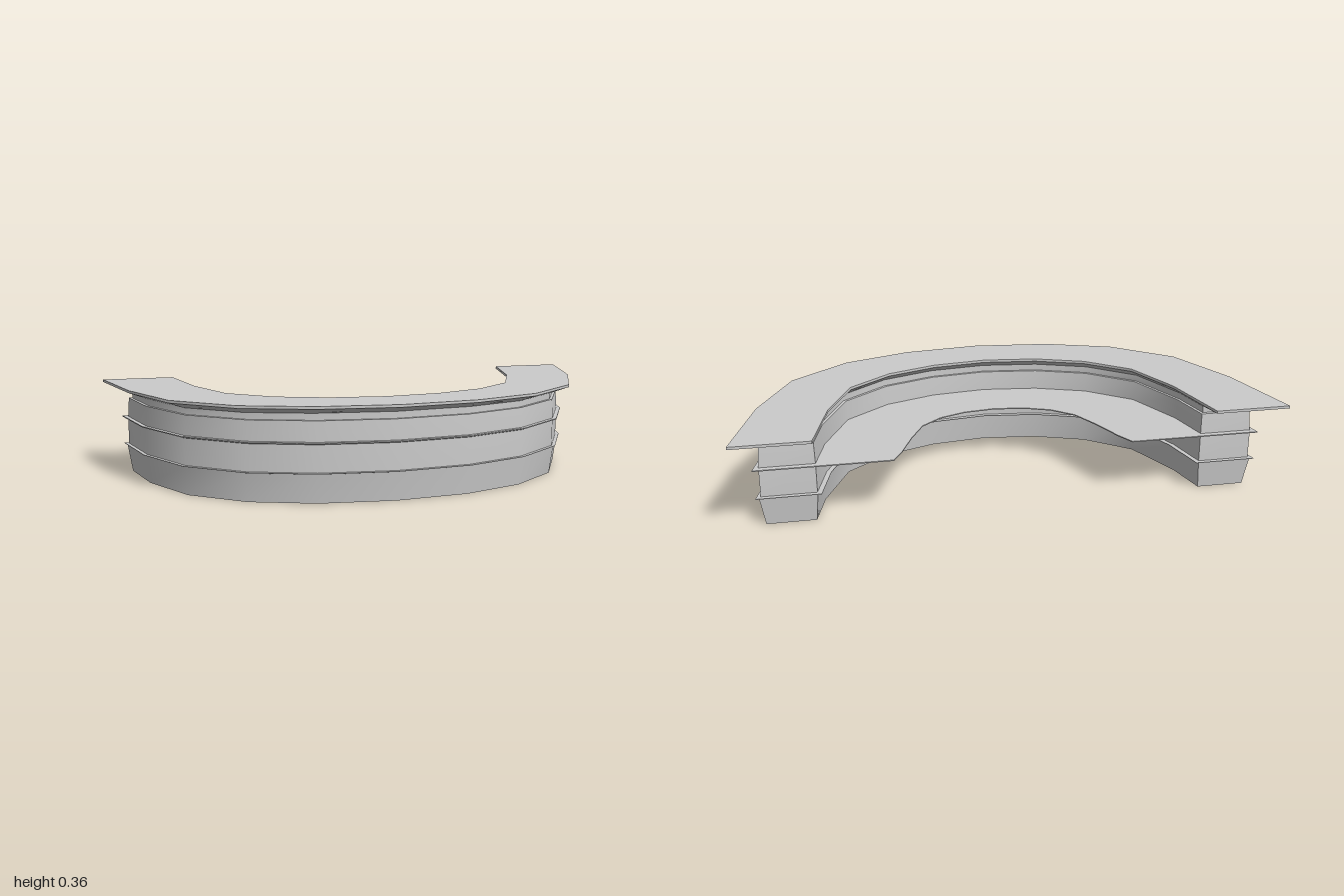
import * as THREE from 'three';
import { toCreasedNormals } from 'three/addons/utils/BufferGeometryUtils.js';

// Half plan lines [x, z], from the +x end round to the centre front
const topOuter = [[1, -0.463], [0.91, -0.12], [0.78, 0.16], [0.56, 0.34], [0.3, 0.43], [0, 0.463]];
const topInner = [[0.72, -0.463], [0.655, -0.18], [0.56, 0.04], [0.4, 0.17], [0.21, 0.24], [0, 0.265]];
const bodyOuter = [[0.908, -0.34], [0.85, -0.1], [0.725, 0.135], [0.525, 0.294], [0.285, 0.381], [0, 0.411]];
const deskInner = [[0.44, -0.365], [0.405, -0.3], [0.355, -0.175], [0.3, -0.065], [0.22, 0.005], [0.12, 0.045], [0, 0.06]];

// Mirrors a half line, moves it outward by d and cuts both ends at z = endZ
function curve(half, d, endZ) {
  const full = [...half, ...half.slice(0, -1).reverse().map(([x, z]) => [-x, z])];
  const last = full.length - 1;
  const pts = full.map(([x, z], i) => {
    const a = full[Math.max(i - 1, 0)], b = full[Math.min(i + 1, last)];
    const dx = b[0] - a[0], dz = b[1] - a[1], l = Math.hypot(dx, dz);
    return new THREE.Vector2(x + d * dz / l, z - d * dx / l);
  });
  for (const [i, j] of [[0, 1], [last, last - 1]]) {
    const p = pts[i], q = pts[j], t = (endZ - q.y) / (p.y - q.y);
    p.set(q.x + (p.x - q.x) * t, endZ);
  }
  return pts;
}

// Stacks horseshoe outlines into a closed solid; layer = [outer offset, inner offset, end z, y]
function horseshoe(name, outer, inner, layers) {
  const rings = layers.map(([o, i, endZ, y]) => ({
    y, pts: [...curve(outer, o, endZ), ...curve(inner, i, endZ).reverse()],
  }));
  const pos = [];
  const put = (ring, i) => pos.push(ring.pts[i].x, ring.y, ring.pts[i].y);
  // Walls
  for (let k = 0; k < rings.length - 1; k++) {
    const a = rings[k], b = rings[k + 1], n = a.pts.length;
    for (let i = 0; i < n; i++) {
      const j = (i + 1) % n;
      put(a, j); put(a, i); put(b, i);
      put(a, j); put(b, i); put(b, j);
    }
  }
  // Bottom and top caps
  for (const [ring, up] of [[rings[0], false], [rings[rings.length - 1], true]]) {
    for (const [a, b, c] of THREE.ShapeUtils.triangulateShape(ring.pts, [])) {
      const facesDown = THREE.ShapeUtils.area([ring.pts[a], ring.pts[b], ring.pts[c]]) > 0;
      for (const i of facesDown === up ? [a, c, b] : [a, b, c]) put(ring, i);
    }
  }
  const geo = new THREE.BufferGeometry();
  geo.setAttribute('position', new THREE.Float32BufferAttribute(pos, 3));
  const mesh = new THREE.Mesh(toCreasedNormals(geo, 0.5), new THREE.MeshStandardMaterial({ color: 0xcccccc }));
  mesh.name = name;
  return mesh;
}

export function createModel() {
  const group = new THREE.Group();
  group.name = 'curvedCounter';
  group.add(
    // Front wall with a tapered foot
    horseshoe('lowerBody', bodyOuter, topInner, [[-0.007, 0.03, -0.335, 0], [0.007, 0.018, -0.347, 0.11]]),
    horseshoe('upperBody', bodyOuter, topInner, [
      [0.001, 0.02, -0.344, 0.11], [0.001, 0.02, -0.343, 0.22], [-0.003, 0.024, -0.336, 0.3],
    ]),
    // Recessed neck under the counter top
    horseshoe('neck', bodyOuter, topInner, [[-0.014, 0.035, -0.322, 0.3], [-0.014, 0.035, -0.322, 0.328]]),
    // Thin trim strip round the wall
    horseshoe('trimStrip', bodyOuter, topInner, [
      [0.003, 0.015, -0.35, 0.108], [0.015, 0.002, -0.361, 0.111], [0.015, 0.002, -0.361, 0.113],
    ]),
    // Lower desk, passing through the wall as a second trim strip
    horseshoe('desk', bodyOuter, deskInner, [
      [0.001, 0.025, -0.343, 0.215], [0.017, 0, -0.365, 0.22], [0.017, 0, -0.365, 0.224],
    ]),
    // Overhanging top with a bevelled underside
    horseshoe('counterTop', topOuter, topInner, [
      [-0.066, 0.035, -0.322, 0.325], [0, 0, -0.463, 0.35], [0, 0, -0.463, 0.36],
    ]),
  );
  return group;
}
